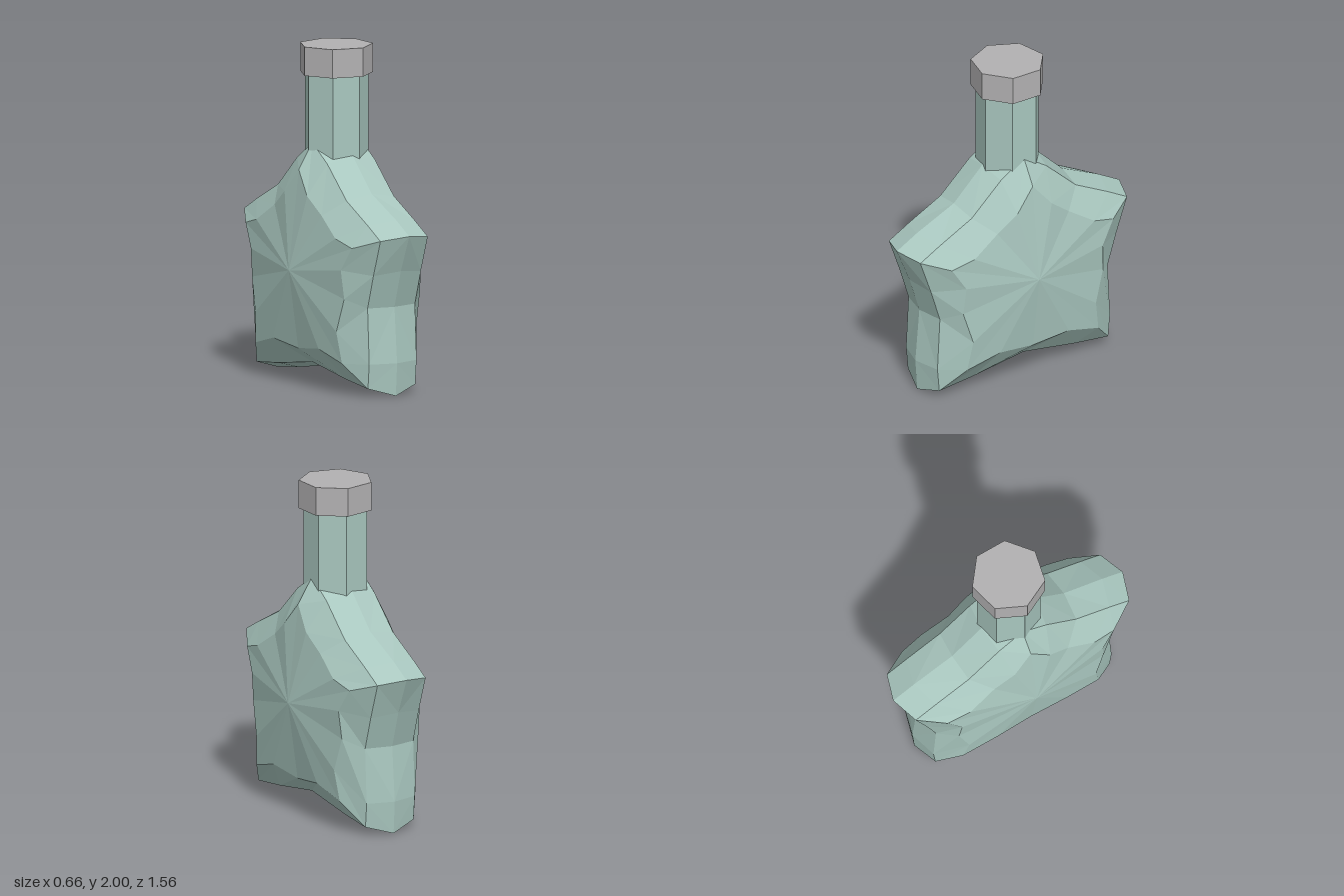
import * as THREE from 'three';

const glass = new THREE.MeshStandardMaterial({ color: 0xa9c7bf, flatShading: true });
glass.name = 'paleGreenGlass';
const metal = new THREE.MeshStandardMaterial({ color: 0xb2b1b2, flatShading: true });
metal.name = 'greyCap';

// Half outlines [z, y, x], from the top point round to the bottom notch
const rim = [
  [0, 1.48], [0.18, 1.36], [0.38, 1.165], [0.64, 1.045], [0.78, 0.967], [0.69, 0.75],
  [0.622, 0.53], [0.65, 0.2], [0.637, 0.005], [0.39, 0.035], [0, 0.105],
].map(([z, y]) => [z, y, 0]);
const shoulder = [
  [0, 1.43], [0.16, 1.325], [0.365, 1.135], [0.59, 1.02], [0.725, 0.945], [0.65, 0.73],
  [0.588, 0.53], [0.605, 0.2], [0.592, 0.055], [0.36, 0.08], [0, 0.135],
].map(([z, y]) => [z, y, 0.165]);
const face = [
  [0, 1.28, 0.26], [0.12, 1.14, 0.28], [0.25, 1.04, 0.264], [0.42, 0.93, 0.28],
  [0.565, 0.89, 0.26], [0.478, 0.75, 0.28], [0.49, 0.58, 0.264], [0.43, 0.38, 0.28],
  [0.46, 0.195, 0.26], [0.24, 0.255, 0.28], [0, 0.225, 0.264],
];

// Complete a half outline into a closed ring
const closeRing = (half) => [
  ...half,
  ...half.slice(1, -1).reverse().map(([z, y, x]) => [-z, y, x]),
];

function starBody() {
  const rings = [rim, shoulder, face].map(closeRing);
  const n = rings[0].length;
  const centre = [0, 0.69, 0.33];
  const positions = [];
  // Each triangle is added on the +x side and mirrored on the -x side
  const tri = (a, b, c) => {
    for (const [z, y, x] of [a, b, c]) positions.push(x, y, z);
    for (const [z, y, x] of [a, c, b]) positions.push(-x, y, z);
  };
  for (let i = 0; i < n; i++) {
    const j = (i + 1) % n;
    for (let r = 0; r < 2; r++) {
      const [outer, inner] = [rings[r], rings[r + 1]];
      tri(outer[i], outer[j], inner[j]);
      tri(outer[i], inner[j], inner[i]);
    }
    tri(rings[2][i], rings[2][j], centre);
  }
  const geometry = new THREE.BufferGeometry();
  geometry.setAttribute('position', new THREE.Float32BufferAttribute(positions, 3));
  geometry.computeVertexNormals();
  return geometry;
}

// Seven-sided upright prism with one corner towards -x
function prism(radius, bottom, top) {
  return new THREE.CylinderGeometry(radius, radius, top - bottom, 7, 1, false, -Math.PI / 2)
    .translate(0, (top + bottom) / 2, 0);
}

export function createModel() {
  const bottle = new THREE.Group();
  bottle.name = 'starBottle';
  const add = (name, geometry, material) => {
    const mesh = new THREE.Mesh(geometry, material);
    mesh.name = name;
    bottle.add(mesh);
  };
  add('starBody', starBody(), glass);
  add('neck', prism(0.191, 1.2, 1.835), glass);
  add('cap', prism(0.219, 1.83, 2), metal);
  return bottle;
}
